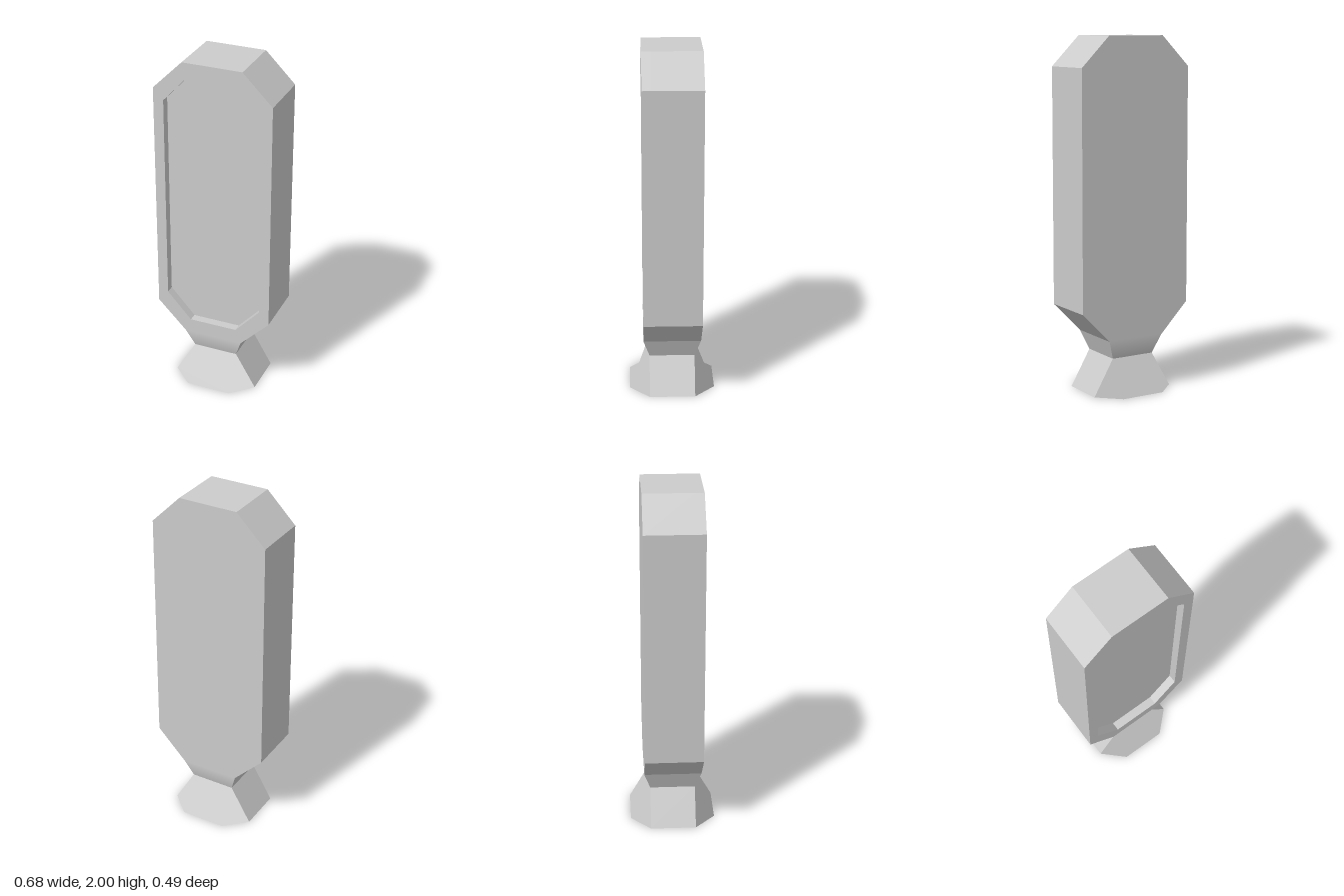
import * as THREE from 'three';

const material = new THREE.MeshStandardMaterial({ color: 0xcccccc });

// Elongated octagon: half width, half width of the flat ends, then four heights
function octagon(w, f, y0, y1, y2, y3, Type = THREE.Shape) {
  return new Type([
    [-f, y0], [f, y0], [w, y1], [w, y2], [f, y3], [-f, y3], [-w, y2], [-w, y1],
  ].map(([x, y]) => new THREE.Vector2(x, y)));
}

function add(group, name, geometry) {
  const mesh = new THREE.Mesh(geometry, material);
  mesh.name = name;
  group.add(mesh);
}

// Polygons given counter-clockwise, each fanned from its first corner.
// Each polygon has one shared normal unless normals are given per corner.
function facesGeometry(faces) {
  const position = [], normal = [];
  for (const { points, normals } of faces) {
    const v = points.map((p) => new THREE.Vector3(...p));
    const mean = new THREE.Vector3();
    for (let i = 1; i < v.length - 1; i++) {
      mean.add(v[i].clone().sub(v[0]).cross(v[i + 1].clone().sub(v[0])));
    }
    mean.normalize();
    for (let i = 1; i < v.length - 1; i++) {
      for (const k of [0, i, i + 1]) {
        position.push(...points[k]);
        normal.push(...(normals ? normals[k] : mean.toArray()));
      }
    }
  }
  const g = new THREE.BufferGeometry();
  g.setAttribute('position', new THREE.Float32BufferAttribute(position, 3));
  g.setAttribute('normal', new THREE.Float32BufferAttribute(normal, 3));
  return g;
}

// Mirror a polygon across z = 0, keeping its first corner first
const mirrorZ = (points) => {
  const [a, ...rest] = points.map(([x, y, z]) => [x, y, -z]);
  return [a, ...rest.reverse()];
};
// Half turn about the vertical axis
const turn = (points) => points.map(([x, y, z]) => [-x, y, -z]);

export function createModel() {
  const group = new THREE.Group();
  const D = 0.165, recess = 0.05;
  const outer = () => octagon(0.342, 0.172, 0.315, 0.488, 1.83, 2);

  // Solid body, with a raised rim that leaves a recessed front panel
  const slab = new THREE.ExtrudeGeometry(outer(), { depth: 2 * D - recess, bevelEnabled: false });
  slab.translate(0, 0, -D);
  add(group, 'body', slab);

  const rimShape = outer();
  rimShape.holes.push(octagon(0.283, 0.14, 0.4, 0.557, 1.765, 1.92, THREE.Path));
  const rim = new THREE.ExtrudeGeometry(rimShape, { depth: recess, bevelEnabled: false });
  rim.translate(0, 0, D - recess);
  add(group, 'frontRim', rim);

  // Neck tapering down; front and back shade smoothly into the body
  const t = 0.172, n = 0.13, yT = 0.315, yN = 0.205;
  const front = [[-n, yN, n], [n, yN, n], [t, yT, D], [-t, yT, D]];
  const side = [[n, yN, n], [n, yN, -n], [t, yT, -D], [t, yT, D]];
  const down = [0, -0.3, 0.954];
  const frontNormals = [down, down, [0, 0, 1], [0, 0, 1]];
  add(group, 'neck', facesGeometry([
    { points: front, normals: frontNormals },
    { points: turn(front), normals: turn(frontNormals) },
    { points: side },
    { points: turn(side) },
  ]));

  // Foot flaring from the square neck to an octagonal sole
  const w = 0.25, d = 0.245;
  const footFront = [[n, 0, d], [w, 0, n], [n, yN, n], [-n, yN, n], [-w, 0, n], [-n, 0, d]];
  const footSide = [[w, 0, n], [w, 0, -n], [n, yN, -n], [n, yN, n]];
  const sole = [[n, 0, d], [-n, 0, d], [-w, 0, n], [-w, 0, -n], [-n, 0, -d], [n, 0, -d], [w, 0, -n], [w, 0, n]];
  add(group, 'foot', facesGeometry([
    { points: footFront },
    { points: mirrorZ(footFront) },
    { points: footSide },
    { points: turn(footSide) },
    { points: sole },
  ]));

  return group;
}
